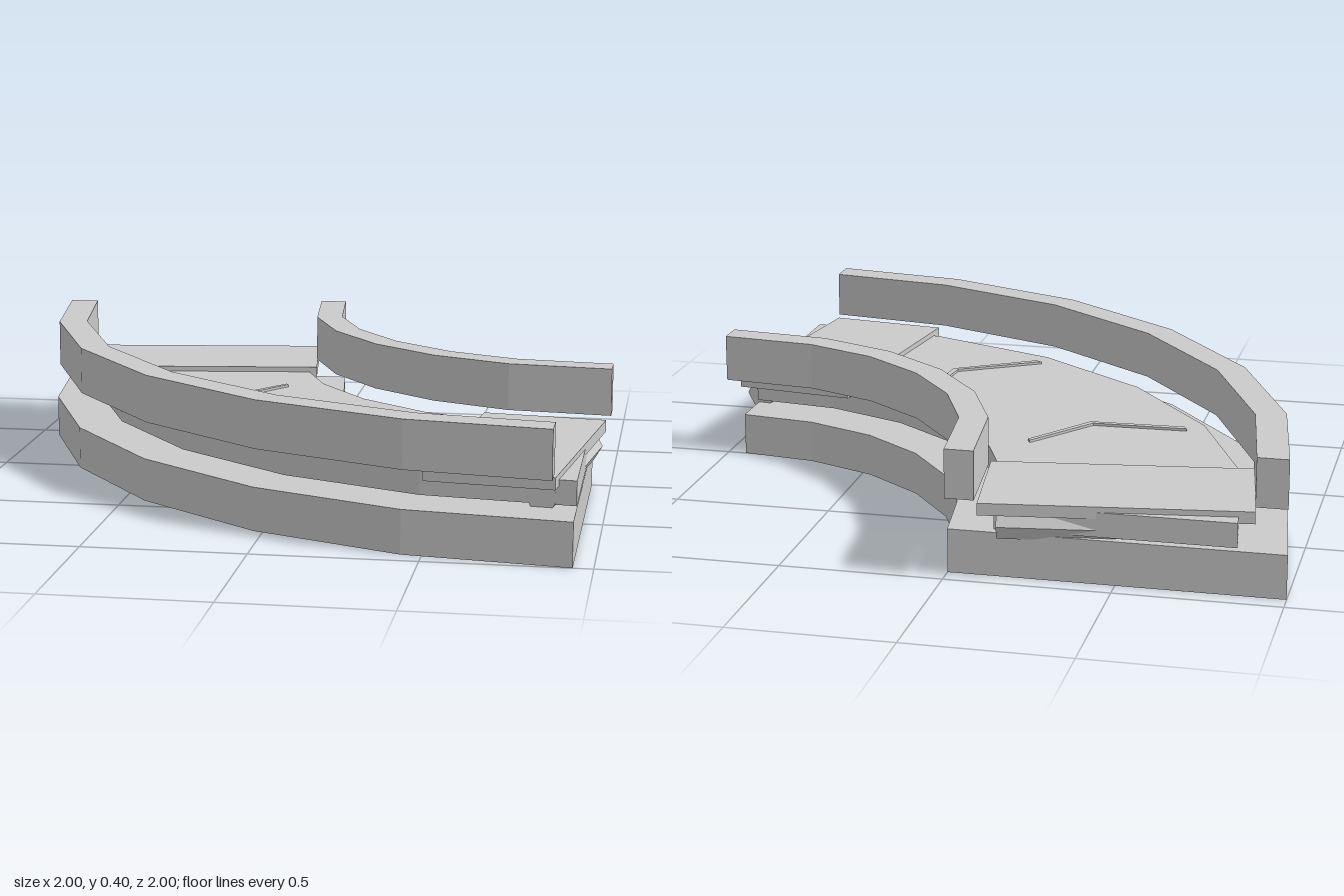
import * as THREE from 'three';

const PIVOT = 0.94; // bend centre is at x = PIVOT, z = -PIVOT
const SEGMENTS = 6;
const material = new THREE.MeshStandardMaterial({ color: 0xcccccc, flatShading: true });

function addMesh(parent, name, geometry) {
  const mesh = new THREE.Mesh(geometry, material);
  mesh.name = name;
  parent.add(mesh);
  return mesh;
}

// Plan point on the bend, as (x, -z) for extruding upwards
function polar(r, degrees) {
  const a = THREE.MathUtils.degToRad(degrees);
  return new THREE.Vector2(PIVOT - r * Math.cos(a), PIVOT - r * Math.sin(a));
}

// Raise a plan outline from y0 to y1
function prism(points, y0, y1) {
  const geometry = new THREE.ExtrudeGeometry(new THREE.Shape(points), { depth: y1 - y0, bevelEnabled: false });
  return geometry.rotateX(-Math.PI / 2).translate(0, y0, 0);
}

// Quarter-ring; overrun lengthens (or shortens) both ends along the track
function bend(r0, r1, y0, y1, overrun = 0) {
  const arc = (r) => {
    const points = [];
    for (let i = 0; i <= SEGMENTS; i++) points.push(polar(r, (90 * i) / SEGMENTS));
    points[0].y += overrun;
    points[SEGMENTS].x += overrun;
    return points;
  };
  return prism([...arc(r1), ...arc(r0).reverse()], y0, y1);
}

// Thin V-shaped bar lying across the belt
function chevron(degrees) {
  const edge = (d) => [polar(1.21, degrees + d), polar(1.46, degrees + 4.4 + d), polar(1.72, degrees - 1 + d)];
  return prism([...edge(-0.4), ...edge(0.4).reverse()], 0.215, 0.228);
}

export function createModel() {
  const model = new THREE.Group();
  model.name = 'curvedConveyor';

  addMesh(model, 'base', bend(0.94, 1.94, 0, 0.135));
  addMesh(model, 'belt', bend(1.08, 1.795, 0.145, 0.22));
  addMesh(model, 'innerRail', bend(0.947, 1.035, 0.25, 0.4, 0.06));
  addMesh(model, 'outerRail', bend(1.835, 1.93, 0.25, 0.4, -0.063));
  for (const degrees of [30, 60]) addMesh(model, 'beltChevron', chevron(degrees));

  // Cover plate and six-sided roller at each end of the bend
  for (const [degrees, side] of [[7.5, 1], [82.5, -1]]) {
    const end = new THREE.Group();
    end.name = 'endSection';
    end.position.set(PIVOT, 0, -PIVOT);
    end.rotation.y = THREE.MathUtils.degToRad(degrees);
    model.add(end);

    addMesh(end, 'coverPlate', new THREE.BoxGeometry(0.803, 0.037, 0.393))
      .position.set(-1.427, 0.2185, 0.016 * side);
    addMesh(end, 'endRoller', new THREE.CylinderGeometry(0.05, 0.05, 0.7, 6).rotateZ(Math.PI / 2))
      .position.set(-1.43, 0.165, -0.131 * side);
  }
  return model;
}
